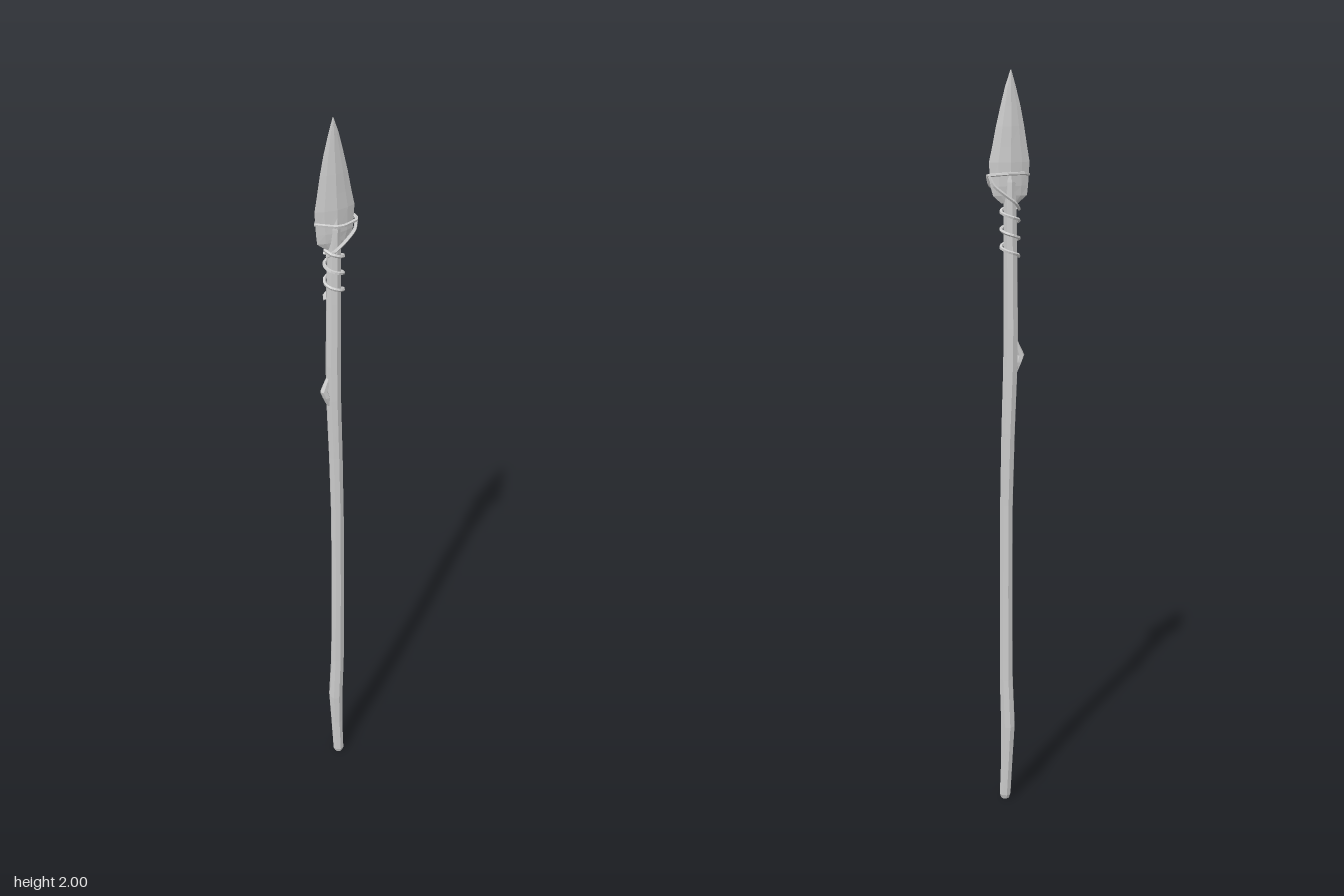
import * as THREE from 'three';

const material = new THREE.MeshStandardMaterial({ color: 0xcccccc, flatShading: true });

// Loft through elliptical rings [y, cx, cz, rx, rz], from low to high, capped at both ends.
// ridge < 1 pulls the cross-section towards a diamond.
function loft(name, rings, sides, ridge = 1) {
  const pos = [], index = [];
  for (const [y, cx, cz, rx, rz] of rings) {
    for (let i = 0; i < sides; i++) {
      const a = (i / sides) * Math.PI * 2, c = Math.cos(a), s = Math.sin(a);
      const k = ridge + (1 - ridge) / (Math.abs(c) + Math.abs(s));
      pos.push(cx + rx * c * k, y, cz + rz * s * k);
    }
  }
  for (let r = 0; r < rings.length - 1; r++) {
    for (let i = 0; i < sides; i++) {
      const a = r * sides + i, b = r * sides + (i + 1) % sides;
      index.push(a, a + sides, b, b, a + sides, b + sides);
    }
  }
  const top = (rings.length - 1) * sides;
  for (let i = 1; i < sides - 1; i++) {
    index.push(0, i, i + 1, top, top + i + 1, top + i);
  }
  const geometry = new THREE.BufferGeometry();
  geometry.setAttribute('position', new THREE.Float32BufferAttribute(pos, 3));
  geometry.setIndex(index);
  geometry.computeVertexNormals();
  const mesh = new THREE.Mesh(geometry, material);
  mesh.name = name;
  return mesh;
}

// Thin five-sided cord along a list of points
function cord(name, points, segments, closed = false) {
  const path = new THREE.CatmullRomCurve3(points.map(p => new THREE.Vector3(...p)), closed, 'catmullrom', closed ? 0.1 : 0.4);
  const mesh = new THREE.Mesh(new THREE.TubeGeometry(path, segments, 0.0045, 5, closed), material);
  mesh.name = name;
  return mesh;
}

export function createModel() {
  const model = new THREE.Group();
  model.name = 'spear';

  // Slightly crooked wooden shaft
  model.add(loft('shaft', [
    [0, 0.008, 0.003, 0.011, 0.011],
    [0.012, 0.008, 0.003, 0.016, 0.015],
    [0.12, 0.004, 0, 0.017, 0.017],
    [0.22, 0.001, -0.001, 0.020, 0.021],
    [0.36, 0.005, 0.002, 0.019, 0.019],
    [0.62, 0.005, 0.003, 0.018, 0.018],
    [0.86, 0.004, 0.003, 0.018, 0.018],
    [1.06, 0, 0.001, 0.019, 0.019],
    [1.24, -0.006, 0, 0.020, 0.021],
    [1.34, -0.007, 0, 0.020, 0.021],
    [1.52, -0.006, 0, 0.019, 0.020],
    [1.65, -0.005, 0, 0.018, 0.019],
    [1.72, -0.004, 0, 0.015, 0.018],
    [1.75, -0.003, 0, 0.010, 0.014],
  ], 8));

  // Stub of a cut branch
  model.add(loft('branchStub', [
    [1.22, -0.018, 0, 0.006, 0.008],
    [1.25, -0.028, 0, 0.010, 0.012],
    [1.268, -0.034, 0, 0.011, 0.010],
    [1.295, -0.024, 0, 0.008, 0.008],
    [1.32, -0.016, 0, 0.004, 0.004],
  ], 6));

  // Leaf-shaped stone blade
  model.add(loft('blade', [
    [1.665, -0.004, 0, 0.022, 0.006],
    [1.685, -0.005, 0, 0.046, 0.011],
    [1.71, -0.003, 0, 0.051, 0.014],
    [1.77, -0.003, 0, 0.055, 0.014],
    [1.81, -0.004, 0, 0.047, 0.012],
    [1.86, -0.005, 0, 0.038, 0.010],
    [1.91, -0.006, 0, 0.027, 0.007],
    [1.96, -0.006, 0, 0.014, 0.004],
    [2.0, -0.007, 0, 0.001, 0.001],
  ], 8, 0.4));

  // Cord loop around the blade and shaft top
  model.add(cord('bladeBinding', [
    [-0.056, 1.738, 0], [-0.04, 1.737, 0.012], [-0.012, 1.733, 0.025], [0.012, 1.732, 0.025],
    [0.052, 1.735, 0.014], [0.055, 1.738, -0.008], [0.01, 1.742, -0.025], [-0.04, 1.742, -0.015],
  ], 32, true));

  // Diagonal strands from the blade's shoulder down to the shaft, front and back
  for (const [name, side] of [['frontStrand', 1], ['backStrand', -1]]) {
    model.add(cord(name, [
      [0.053, 1.735, 0.008 * side], [0.044, 1.712, 0.017 * side], [0.018, 1.69, 0.022 * side],
      [-0.012, 1.668, 0.022 * side], [-0.028, 1.65, 0.006 * side],
    ], 14));
  }

  // Cord spiralling down the shaft
  const spiral = [];
  for (let i = 0; i <= 24; i++) {
    const a = Math.PI - (i / 8) * Math.PI * 2;
    spiral.push([-0.005 + 0.024 * Math.cos(a), 1.665 - i * 0.0057, 0.025 * Math.sin(a)]);
  }
  model.add(cord('shaftBinding', spiral, 48));

  return model;
}
